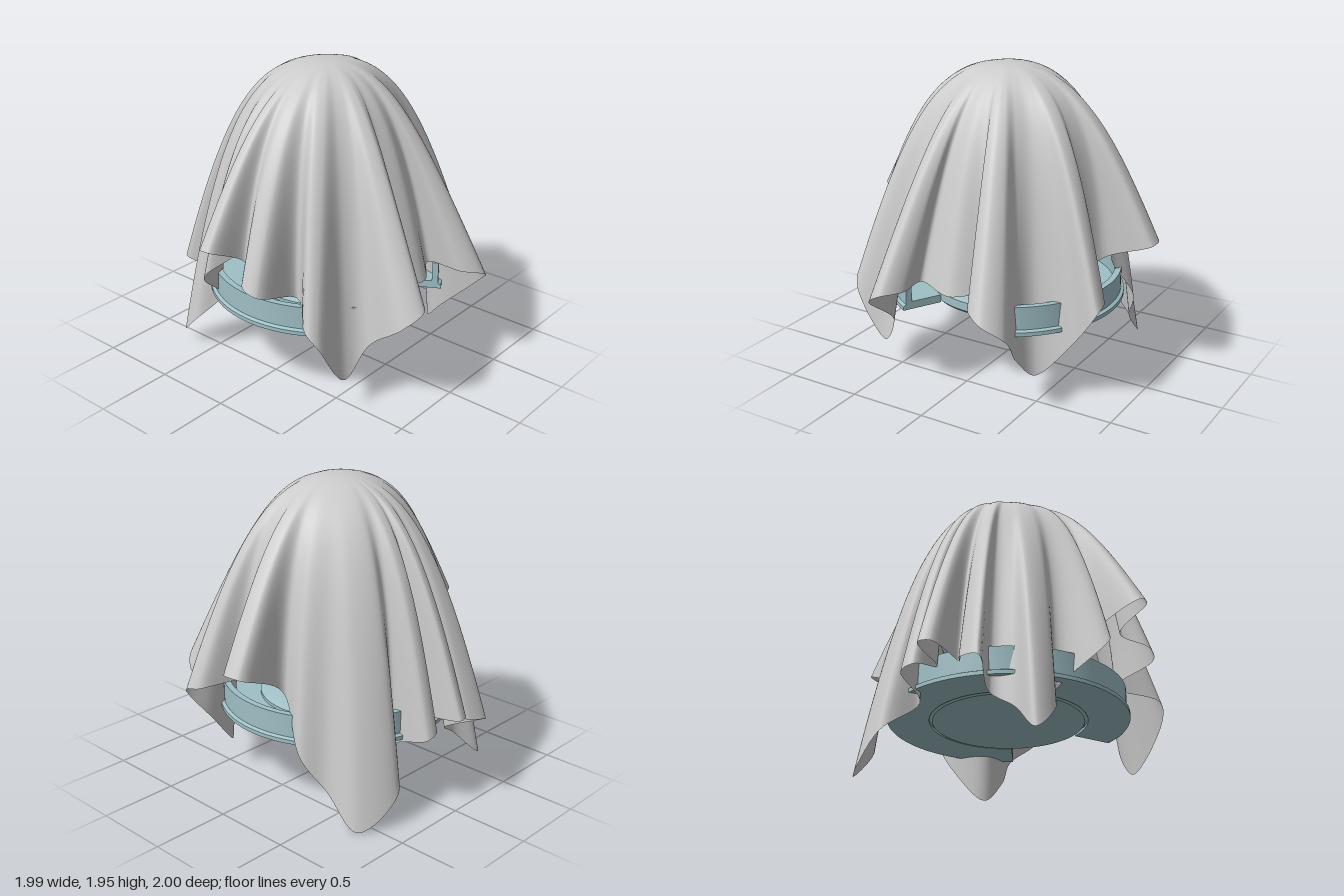
import * as THREE from 'three';
import { toCreasedNormals } from 'three/addons/utils/BufferGeometryUtils.js';

// hem of the cloth, running from the front round the left side: x, y, z
const HEM = [
  [0.04, 0.68, 0.75], [0.23, 0.7, 0.64], [0.25, 0.7, 0.87], [0.38, 0.66, 0.96], [0.5, 0.55, 0.87],
  [0.43, 0.3, 0.62], [0.48, 0.16, 0.48], [0.7, 0.4, 0.42], [0.87, 0.64, 0.46], [0.86, 0.68, 0.34],
  [0.64, 0.72, 0.2], [0.68, 0.8, 0], [0.98, 0.92, -0.03], [0.97, 0.92, -0.16], [0.65, 0.75, -0.18],
  [0.72, 0.42, -0.38], [0.63, 0.2, -0.52], [0.6, 0, -0.74], [0.35, 0.2, -0.84], [0.2, 0.4, -0.66],
  [0.17, 0.5, -0.9], [0.08, 0.53, -0.9], [0.03, 0.56, -0.74], [-0.01, 0.6, -1], [-0.09, 0.6, -0.98],
  [-0.13, 0.55, -0.76], [-0.23, 0.5, -0.9], [-0.37, 0.47, -0.93], [-0.28, 0.36, -0.68], [-0.42, 0.26, -0.64],
  [-0.6, 0.08, -0.72], [-0.64, 0.22, -0.57], [-0.56, 0.42, -0.4], [-0.84, 0.72, -0.26], [-0.68, 0.85, -0.14],
  [-0.98, 0.99, -0.14], [-0.99, 1, -0.05], [-0.77, 0.88, 0.02], [-0.91, 0.8, 0.13], [-0.89, 0.76, 0.23],
  [-0.6, 0.66, 0.28], [-0.8, 0.6, 0.51], [-0.77, 0.5, 0.59], [-0.55, 0.2, 0.61], [-0.42, 0.4, 0.68],
  [-0.42, 0.6, 0.92], [-0.3, 0.69, 0.99], [-0.2, 0.7, 0.87], [-0.2, 0.7, 0.68],
];

const polar = (radius, angle, y) => new THREE.Vector3(radius * Math.sin(angle), y, radius * Math.cos(angle));

// cloth: one bent thread per hem point, from the crown over the dome to the hem
function clothGeometry() {
  const cols = HEM.length * 8, rows = 40, reach = 16;
  const curve = new THREE.CatmullRomCurve3(HEM.map((p) => new THREE.Vector3(...p)), true);
  const hem = Array.from({ length: cols }, (_, i) => curve.getPoint(i / cols));
  const angles = hem.map((p) => Math.atan2(p.x, p.z));

  // mean direction of the neighbouring threads, so folds fade out upwards
  const meanAngle = (i) => {
    let s = 0, c = 0;
    for (let k = -reach; k <= reach; k++) {
      const a = angles[(i + k + cols) % cols];
      s += Math.sin(a);
      c += Math.cos(a);
    }
    return Math.atan2(s, c);
  };

  const threads = hem.map((end, i) => {
    const mean = meanAngle(i);
    const front = Math.max(0, Math.cos(mean)) ** 2;
    const over = Math.hypot(end.x, end.z) - 0.75;
    const bend = polar(0.64 - 0.12 * front + 0.12 * over, mean, 1.6);
    const own = polar(0.64 - 0.12 * front + 0.12 * over, angles[i], 1.6);
    return new THREE.CubicBezierCurve3(
      new THREE.Vector3(0, 1.945, 0), polar(0.45 - 0.09 * front, mean, 1.945), bend.lerp(own, 0.4), end);
  });

  const positions = [], index = [];
  for (let r = 0; r <= rows; r++) {
    for (const thread of threads) positions.push(...thread.getPoint(r / rows).toArray());
  }
  for (let r = 0; r < rows; r++) {
    for (let i = 0; i < cols; i++) {
      const j = (i + 1) % cols;
      const a = r * cols + i, b = a + cols, c = (r + 1) * cols + j, d = r * cols + j;
      index.push(a, b, c);
      if (r > 0) index.push(a, c, d);
    }
  }
  const geometry = new THREE.BufferGeometry();
  geometry.setAttribute('position', new THREE.Float32BufferAttribute(positions, 3));
  geometry.setIndex(index);
  geometry.computeVertexNormals();
  return geometry;
}

export function createModel() {
  const model = new THREE.Group();
  const clothMaterial = new THREE.MeshStandardMaterial({ color: 0xcccccc, side: THREE.DoubleSide });
  const baseMaterial = new THREE.MeshStandardMaterial({ color: 0x9fc0c6, side: THREE.DoubleSide });

  const add = (name, geometry, material = baseMaterial) => {
    const mesh = new THREE.Mesh(geometry, material);
    mesh.name = name;
    model.add(mesh);
    return mesh;
  };
  const points = (list) => list.map((p) => new THREE.Vector2(...p));

  add('drapedCloth', clothGeometry(), clothMaterial);

  // globe under the cloth
  add('globe', new THREE.SphereGeometry(0.46, 48, 32)).position.y = 1.14;

  // round foot with a flared neck
  const foot = points([[0, 0.455], [0.47, 0.455], [0.49, 0.475], [0.49, 0.53], [0.46, 0.545],
    [0.36, 0.56], [0.24, 0.6], [0.18, 0.64], [0.17, 0.67], [0.24, 0.71], [0.36, 0.79], [0, 0.79]]);
  add('foot', toCreasedNormals(new THREE.LatheGeometry(foot, 64), 0.6));

  // horseshoe tray round the foot, open at the front
  const gap = 0.5;
  const tray = points([[0.49, 0.46], [0.75, 0.46], [0.75, 0.485], [0.73, 0.495], [0.73, 0.64],
    [0.69, 0.64], [0.69, 0.51], [0.49, 0.51], [0.49, 0.46]]);
  add('tray', toCreasedNormals(new THREE.LatheGeometry(tray, 72, gap, Math.PI * 2 - 2 * gap), 0.6));
  for (const side of [-1, 1]) {
    add('trayEnd', new THREE.ShapeGeometry(new THREE.Shape(tray))).rotation.y = side * gap - Math.PI / 2;
  }
  return model;
}
